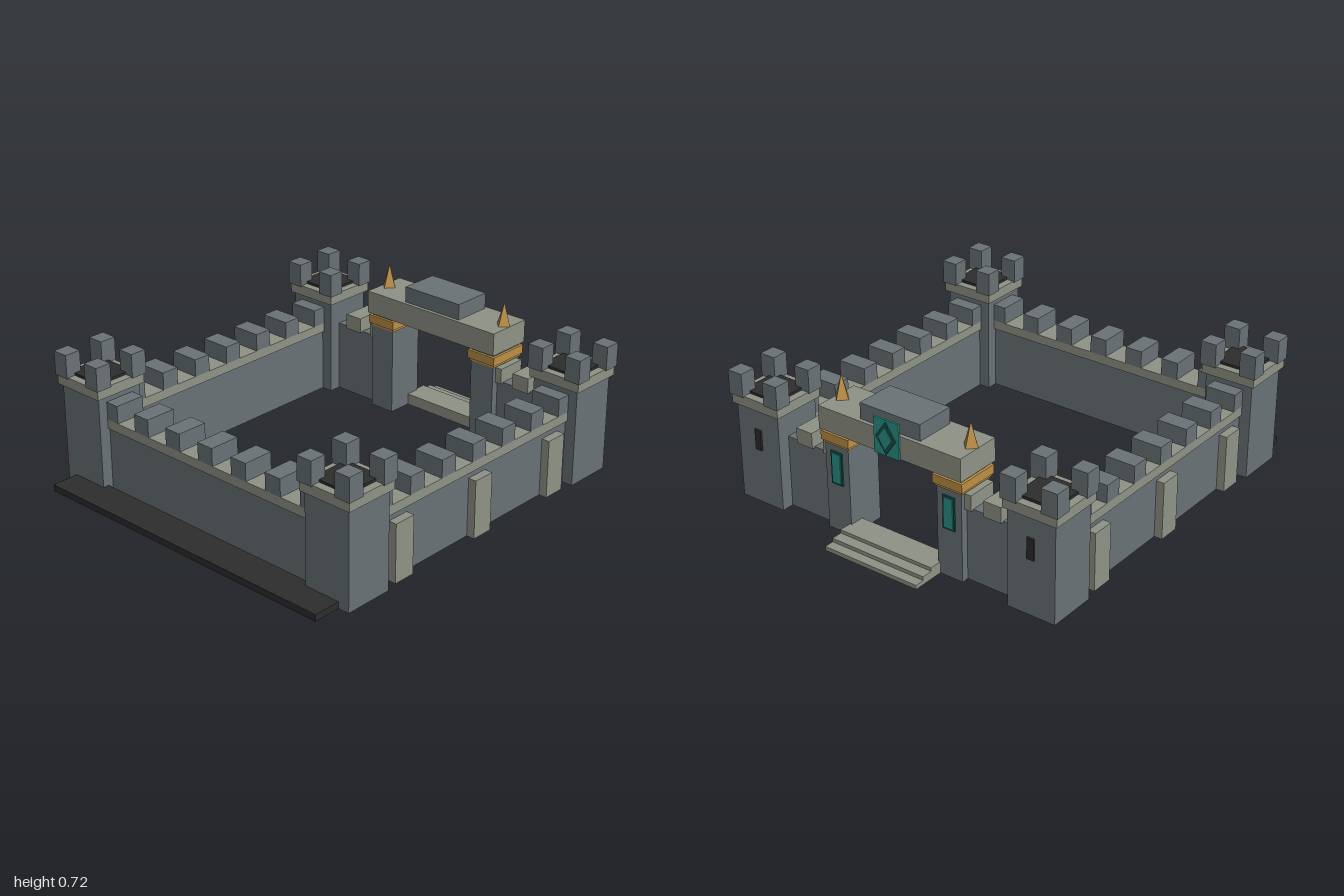
import * as THREE from 'three';

const mat = (name, color) => {
  const m = new THREE.MeshStandardMaterial({ color });
  m.name = name;
  return m;
};

export function createModel() {
  const root = new THREE.Group();
  root.name = 'castleWalls';
  const stone = mat('slateStone', 0x6a7276);
  const trim = mat('paleStone', 0x8f9386);
  const dark = mat('charcoal', 0x2d2d2d);
  const gold = mat('gold', 0xbd8f45);
  const teal = mat('teal', 0x2a9187);
  const deepTeal = mat('deepTeal', 0x14524e);

  const group = (name, parent = root) => {
    const g = new THREE.Group();
    g.name = name;
    parent.add(g);
    return g;
  };
  // Box given by centre x/z, bottom and top heights
  const box = (parent, name, material, w, d, y0, y1, x = 0, z = 0) => {
    const m = new THREE.Mesh(new THREE.BoxGeometry(w, y1 - y0, d), material);
    m.name = name;
    m.position.set(x, (y0 + y1) / 2, z);
    parent.add(m);
    return m;
  };

  const C = 0.745; // distance of walls and towers from the centre

  // Corner towers
  for (const sx of [-1, 1]) for (const sz of [-1, 1]) {
    const t = group('tower');
    t.position.set(sx * C, 0, sz * C);
    box(t, 'towerBody', stone, 0.24, 0.24, 0, 0.47);
    box(t, 'towerCap', trim, 0.27, 0.27, 0.47, 0.52);
    box(t, 'towerRoof', dark, 0.195, 0.195, 0.515, 0.532);
    for (const mx of [-1, 1]) for (const mz of [-1, 1])
      box(t, 'towerMerlon', stone, 0.08, 0.08, 0.515, 0.63, mx * 0.102, mz * 0.102);
    if (sz < 0) box(t, 'arrowSlit', dark, 0.035, 0.01, 0.27, 0.37, 0, -0.124);
  }

  // Crenellated curtain wall, running along its local x axis
  const curtainWall = (name, x, z, turn) => {
    const w = group(name);
    w.position.set(x, 0, z);
    w.rotation.y = turn;
    box(w, 'wallBody', stone, 1.27, 0.13, 0, 0.31);
    box(w, 'wallCoping', trim, 1.27, 0.15, 0.31, 0.355);
    for (let i = -3; i <= 3; i++)
      box(w, 'wallMerlon', stone, 0.088, 0.15, 0.355, 0.44, i * 0.2, 0);
    return w;
  };
  curtainWall('frontWall', 0, C, 0);
  for (const s of [-1, 1]) {
    const side = curtainWall(s > 0 ? 'leftWall' : 'rightWall', s * C, 0, s * Math.PI / 2);
    for (const p of [-0.51, 0, 0.51])
      box(side, 'buttress', trim, 0.11, 0.05, 0, 0.28, p, 0.08);
  }

  // Dark ledge along the front
  box(root, 'frontLedge', dark, 1.62, 0.165, 0, 0.032, 0, 0.9175);

  // Rear gate: flanking walls, pillars, capitals, banners, spikes
  const gate = group('gatehouse');
  gate.position.z = -C;
  for (const s of [-1, 1]) {
    box(gate, 'rearWall', stone, 0.28, 0.12, 0, 0.35, s * 0.5, 0);
    for (const x of [0.36, 0.515])
      box(gate, 'rearMerlon', trim, 0.09, 0.15, 0.345, 0.42, s * x, 0);
    const p = group('gatePillar', gate);
    p.position.x = s * 0.307;
    box(p, 'pillarShaft', stone, 0.13, 0.19, 0, 0.495);
    box(p, 'capitalLower', gold, 0.142, 0.2, 0.425, 0.44);
    box(p, 'capitalUpper', gold, 0.155, 0.215, 0.438, 0.48);
    box(p, 'bannerBorder', deepTeal, 0.062, 0.008, 0.235, 0.395, 0, -0.098);
    box(p, 'banner', teal, 0.048, 0.008, 0.243, 0.387, 0, -0.102);
    const spike = new THREE.Mesh(new THREE.ConeGeometry(0.038, 0.115, 4).toNonIndexed(), gold);
    spike.geometry.computeVertexNormals();
    spike.name = 'spike';
    spike.position.set(s * 0.35, 0.66, 0);
    gate.add(spike);
  }
  box(gate, 'lintel', trim, 0.77, 0.23, 0.493, 0.603);
  box(gate, 'lintelCrown', stone, 0.325, 0.195, 0.6, 0.68);

  // Emblem plate with nested diamonds on the rear of the lintel
  box(gate, 'emblemPlate', teal, 0.135, 0.009, 0.49, 0.66, 0, -0.119);
  const diamond = (name, material, rx, ry, z) => {
    const s = new THREE.Shape();
    s.moveTo(rx, 0).lineTo(0, ry).lineTo(-rx, 0).lineTo(0, -ry).closePath();
    const g = new THREE.ExtrudeGeometry(s, { depth: 0.006, bevelEnabled: false });
    const m = new THREE.Mesh(g, material);
    m.name = name;
    m.position.set(0, 0.575, z);
    gate.add(m);
  };
  diamond('emblemDiamond', deepTeal, 0.054, 0.076, -0.129);
  diamond('emblemCentre', teal, 0.036, 0.052, -0.132);

  // Entrance steps
  [[-0.9, 0.055], [-0.953, 0.038], [-1, 0.02]].forEach(([z, h]) =>
    box(root, 'entranceStep', trim, 0.505, -0.77 - z, 0, h, 0, (z - 0.77) / 2));

  return root;
}
